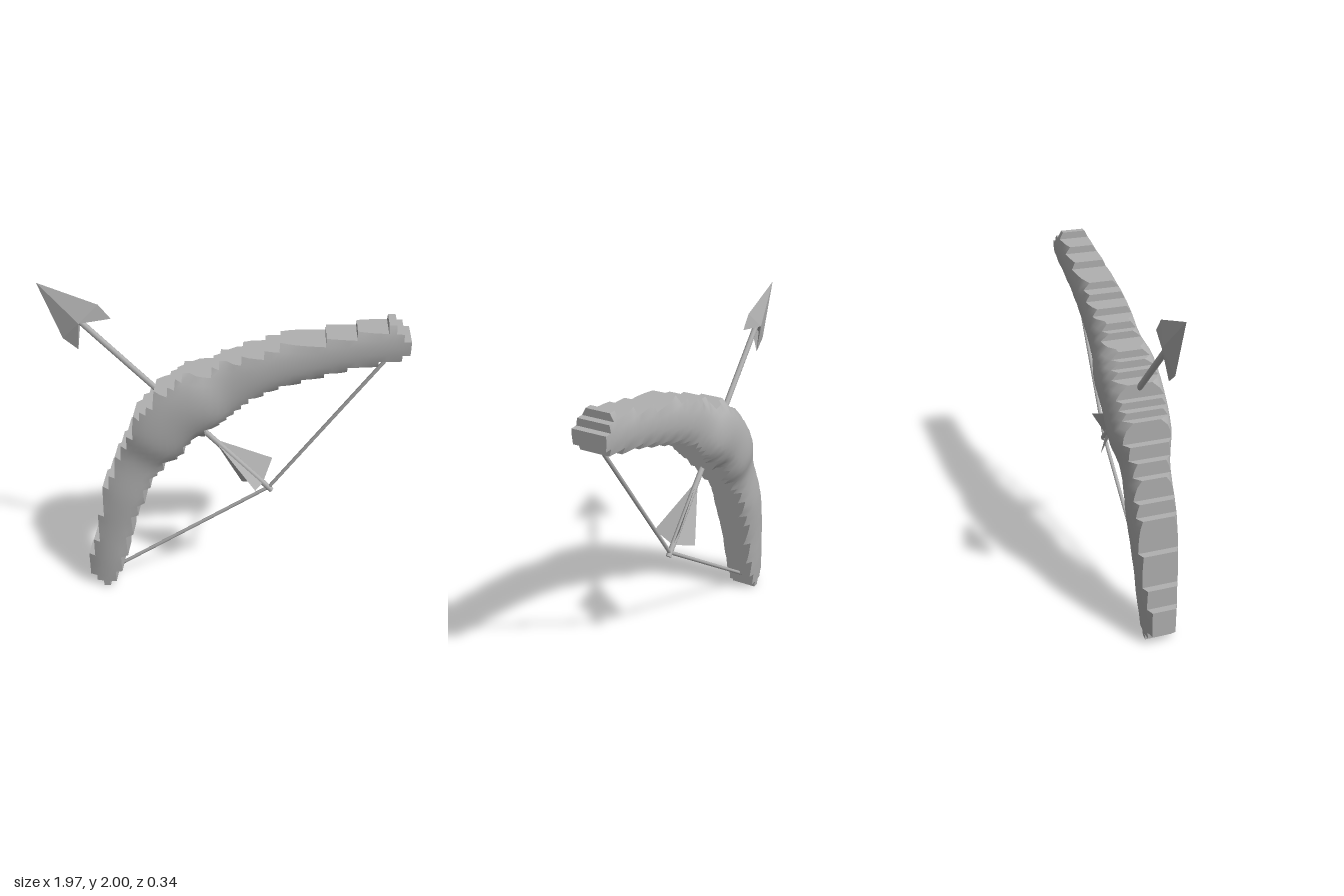
import * as THREE from 'three';

const grey = new THREE.MeshStandardMaterial({ color: 0xb0b0b0, side: THREE.DoubleSide });
grey.name = 'plain grey';
const greyFlat = grey;

// Geometry from loose triangles given as [a, b, c] points; flat normals
function fromTriangles(tris) {
  const g = new THREE.BufferGeometry();
  g.setAttribute('position', new THREE.Float32BufferAttribute(tris.flat(2), 3));
  g.computeVertexNormals();
  return g;
}

function addMesh(parent, name, geometry) {
  const mesh = new THREE.Mesh(geometry, greyFlat);
  mesh.name = name;
  parent.add(mesh);
  return mesh;
}

// Round rod between two points
function rod(parent, name, a, b, radius) {
  const dir = b.clone().sub(a);
  const mesh = addMesh(parent, name, new THREE.CylinderGeometry(radius, radius, dir.length(), 8));
  mesh.position.copy(a).add(b).multiplyScalar(0.5);
  mesh.quaternion.setFromUnitVectors(new THREE.Vector3(0, 1, 0), dir.normalize());
  return mesh;
}

// Bow limb: stepped silhouette, first and end column of each row from the bottom
const CELL = 0.0402, X0 = -0.825;
const FIRST = [2, 1, 0, 0, 0, 0, 1, 1, 1, 2, 2, 2, 2, 2, 3, 3, 3, 3, 3, 4, 4, 5, 5, 5, 6, 6, 7, 7,
  8, 8, 8, 9, 10, 11, 11, 13, 14, 15, 19, 20, 23, 26, 28, 34, 38, 42];
const END = [3, 4, 4, 5, 5, 5, 6, 6, 6, 6, 7, 7, 7, 7, 8, 8, 9, 9, 9, 10, 10, 11, 12, 12, 14, 15, 15, 16,
  18, 18, 20, 21, 22, 23, 24, 26, 28, 31, 34, 37, 41, 44, 45, 45, 44, 43];

// Centre line of the limb; z holds the half depth there
const SPINE = new THREE.CatmullRomCurve3([
  [-0.73, 0, 0.08], [-0.70, 0.2, 0.10], [-0.66, 0.45, 0.115], [-0.59, 0.7, 0.13], [-0.47, 0.97, 0.13],
  [-0.39, 1.1, 0.165], [-0.26, 1.26, 0.17], [-0.1, 1.37, 0.167], [0.02, 1.44, 0.14], [0.2, 1.55, 0.13],
  [0.55, 1.66, 0.112], [0.97, 1.745, 0.098],
].map(p => new THREE.Vector3(...p))).getPoints(160);

function halfDepth(x, y) {
  let best = Infinity, r = 0;
  for (const p of SPINE) {
    const d = Math.hypot(x - p.x, y - p.y);
    if (d < best) { best = d; r = p.z; }
  }
  const edge = 0.068;
  return edge + (r - edge) * Math.sqrt(Math.max(0, 1 - (best / (r * 1.05)) ** 2));
}

function buildBow(parent) {
  const inside = (c, r) => r >= 0 && r < FIRST.length && c >= FIRST[r] && c < END[r];
  const corner = (c, r, side) => {
    const x = X0 + c * CELL, y = r * CELL;
    return [x, y, side * halfDepth(x, y)];
  };
  // Smooth domed front and back, shared vertices
  for (const side of [1, -1]) {
    const positions = [], index = [], ids = new Map();
    const id = (c, r) => {
      const key = c + ',' + r;
      if (!ids.has(key)) {
        ids.set(key, positions.length / 3);
        positions.push(...corner(c, r, side));
      }
      return ids.get(key);
    };
    FIRST.forEach((first, r) => {
      for (let c = first; c < END[r]; c++) {
        const q = [id(c, r), id(c + 1, r), id(c + 1, r + 1), id(c, r + 1)];
        if (side < 0) q.reverse();
        index.push(q[0], q[1], q[2], q[0], q[2], q[3]);
      }
    });
    const g = new THREE.BufferGeometry();
    g.setAttribute('position', new THREE.Float32BufferAttribute(positions, 3));
    g.setIndex(index);
    g.computeVertexNormals();
    addMesh(parent, side > 0 ? 'bowFront' : 'bowBack', g);
  }
  // Stepped walls around the rim
  const walls = [];
  const wall = (c0, r0, c1, r1) => {
    const a = corner(c0, r0, 1), b = corner(c1, r1, 1), c = corner(c1, r1, -1), d = corner(c0, r0, -1);
    walls.push([a, d, c], [a, c, b]);
  };
  FIRST.forEach((first, r) => {
    for (let c = first; c < END[r]; c++) {
      if (!inside(c, r - 1)) wall(c, r, c + 1, r);
      if (!inside(c + 1, r)) wall(c + 1, r, c + 1, r + 1);
      if (!inside(c, r + 1)) wall(c + 1, r + 1, c, r + 1);
      if (!inside(c - 1, r)) wall(c, r + 1, c, r);
    }
  });
  addMesh(parent, 'bowRim', fromTriangles(walls));
}

// Arrow, built upright along y and then tilted
function buildArrow(parent) {
  rod(parent, 'arrowShaft', new THREE.Vector3(0, 0.318, 0), new THREE.Vector3(0, 1.83, 0), 0.017);

  // Barbed head with a raised ridge on each face
  const head = [], tip = [0, 2.114, 0];
  for (const s of [1, -1]) {
    const outer = [s * 0.145, 1.806, 0], barb = [s * 0.134, 1.704, 0], inner = [s * 0.062, 1.804, 0];
    for (const f of [1, -1]) {
      const ridge = [0, 1.81, f * 0.033];
      const tris = [[tip, ridge, outer], [outer, ridge, barb], [barb, ridge, inner]];
      head.push(...tris.map(t => (s * f > 0 ? t : [t[0], t[2], t[1]])));
    }
    const back = [[0, 1.81, 0.033], [0, 1.81, -0.033], inner];
    head.push(s > 0 ? back : back.reverse());
  }
  addMesh(parent, 'arrowHead', fromTriangles(head));

  // Three feathers around the shaft
  const vane = new THREE.Shape([[0, 0.8], [0.144, 0.445], [0.015, 0.395], [0, 0.395]]
    .map(p => new THREE.Vector2(...p)));
  for (let i = 0; i < 3; i++) {
    addMesh(parent, 'feather', new THREE.ShapeGeometry(vane)).rotation.y = -Math.PI / 2 + i * Math.PI * 2 / 3;
  }
}

export function createModel() {
  const model = new THREE.Group();
  model.name = 'bowAndArrow';

  const bow = new THREE.Group();
  bow.name = 'bow';
  buildBow(bow);
  model.add(bow);

  const arrow = new THREE.Group();
  arrow.name = 'arrow';
  buildArrow(arrow);
  arrow.position.set(0.504, 0.504, 0);
  arrow.rotation.z = Math.PI / 4;
  model.add(arrow);

  // Drawn string, from both limb ends to the arrow's tail
  const nock = new THREE.Vector3(0.265, 0.75, 0);
  rod(model, 'upperString', new THREE.Vector3(0.93, 1.7, 0), nock, 0.011);
  rod(model, 'lowerString', new THREE.Vector3(-0.69, 0.085, 0), nock, 0.011);
  return model;
}
